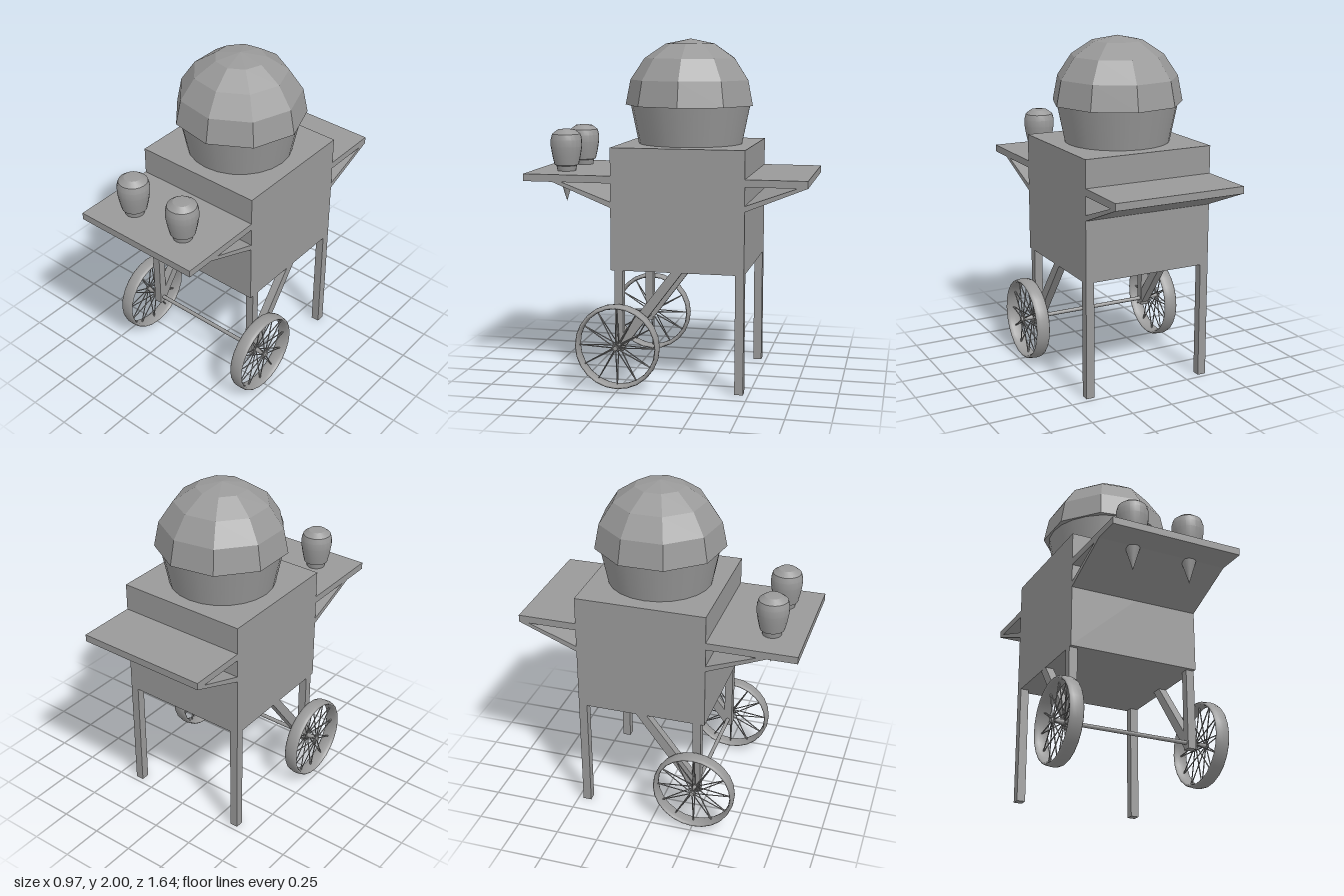
import * as THREE from 'three';
import { toCreasedNormals } from 'three/addons/utils/BufferGeometryUtils.js';

export function createModel() {
  const cart = new THREE.Group();
  cart.name = 'vendingCart';

  const grey = new THREE.MeshStandardMaterial({ color: 0x999999 });
  grey.name = 'plain grey';

  function add(name, geometry, parent = cart) {
    const mesh = new THREE.Mesh(geometry, grey);
    mesh.name = name;
    parent.add(mesh);
    return mesh;
  }

  // Box given by its limits on each axis
  function box(name, x0, x1, y0, y1, z0, z1) {
    const g = new THREE.BoxGeometry(x1 - x0, y1 - y0, z1 - z0);
    g.translate((x0 + x1) / 2, (y0 + y1) / 2, (z0 + z1) / 2);
    return add(name, g);
  }

  // Side outline in (z, y), extruded across x and centred on xMid
  function sidePlate(name, outline, width, xMid = 0) {
    const shape = new THREE.Shape(outline.map(([z, y]) => new THREE.Vector2(z, y)));
    const g = new THREE.ExtrudeGeometry(shape, { depth: width, bevelEnabled: false });
    g.translate(0, 0, -width / 2);
    g.rotateY(-Math.PI / 2);
    g.translate(xMid, 0, 0);
    return add(name, g);
  }

  // Thin rod between two points
  function rod(name, a, b, radius, parent, sides = 6) {
    const dir = b.clone().sub(a);
    const mesh = add(name, new THREE.CylinderGeometry(radius, radius, dir.length(), sides), parent);
    mesh.position.copy(a).add(b).multiplyScalar(0.5);
    mesh.quaternion.setFromUnitVectors(new THREE.Vector3(0, 1, 0), dir.normalize());
    return mesh;
  }

  const W = 0.395, FRONT = 0.3, BACK = -0.47;

  // Cabinet and the two shelves
  box('cabinet', -W, W, 0.69, 1.393, BACK, FRONT);
  box('frontShelf', -W, W, 1.19, 1.232, FRONT, 0.818);
  box('backShelf', -W, W, 1.19, 1.232, -0.818, BACK);

  // Full-width sloping boards that hold up the shelves
  const brace = [[0, 1.05], [0, 1.083], [0.29, 1.19], [0.345, 1.19]];
  sidePlate('frontShelfBrace', brace.map(([z, y]) => [FRONT + z, y]), 2 * W);
  sidePlate('backShelfBrace', brace.map(([z, y]) => [BACK - z, y]), 2 * W);

  // Tapered basin and faceted nine-sided dome
  const basin = add('basin', new THREE.CylinderGeometry(0.352, 0.305, 0.23, 24));
  basin.position.set(0, 1.507, -0.085);
  const domeGeo = new THREE.SphereGeometry(0.383, 9, 4, Math.PI, 2 * Math.PI, 0, Math.PI / 2);
  const dome = add('dome', toCreasedNormals(domeGeo, 0.01));
  dome.position.set(0, 1.617, -0.085);
  const baseGeo = new THREE.CircleGeometry(0.383, 9);
  baseGeo.rotateX(Math.PI / 2);
  add('domeBase', baseGeo).position.copy(dome.position);

  // Filled cones pushed through the front shelf
  const coneProfile = [
    [0, 1.05], [0.055, 1.235], [0.06, 1.262], [0.071, 1.267], [0.083, 1.32],
    [0.092, 1.375], [0.092, 1.415], [0.083, 1.448], [0.05, 1.473], [0, 1.479],
  ].map(([r, y]) => new THREE.Vector2(r, y));
  const coneGeo = toCreasedNormals(new THREE.LatheGeometry(coneProfile, 20), 0.33);
  for (const s of [1, -1]) {
    add(s > 0 ? 'leftCone' : 'rightCone', coneGeo).position.set(0.178 * s, 0, 0.624);
  }

  // Axle
  const wheelY = 0.255, wheelZ = 0.253;
  rod('axle', new THREE.Vector3(-0.482, wheelY, wheelZ), new THREE.Vector3(0.482, wheelY, wheelZ), 0.012, cart, 10);

  // Legs, struts and wheels, mirrored left and right
  for (const s of [1, -1]) {
    const side = s > 0 ? 'left' : 'right';
    const inner = 0.345 * s, outer = W * s;
    const x0 = Math.min(inner, outer), x1 = Math.max(inner, outer);
    box(side + 'BackLeg', x0, x1, 0, 0.69, BACK, BACK + 0.05);
    box(side + 'AxlePost', x0, x1, 0.217, 0.69, 0.23, 0.278);
    sidePlate(side + 'DiagonalStrut',
      [[-0.05, 0.69], [-0.115, 0.69], [0.225, 0.235], [0.265, 0.28]], 0.048, 0.37 * s);

    const wheel = new THREE.Group();
    wheel.name = side + 'Wheel';
    wheel.position.set(0.44 * s, wheelY, wheelZ);
    cart.add(wheel);

    // Wide rim with a flattened oval section
    const rimGeo = new THREE.TorusGeometry(0.235, 0.0125, 12, 24);
    rimGeo.scale(1, 1, 3.4);
    rimGeo.rotateY(Math.PI / 2);
    add('rim', rimGeo, wheel);

    // Two dished sets of spokes running from the hub ends
    for (let i = 0; i < 12; i++) {
      const a = (i / 12) * Math.PI * 2;
      for (const hubX of [-0.034, 0.034]) {
        rod('spoke', new THREE.Vector3(hubX, 0, 0),
          new THREE.Vector3(0, Math.cos(a) * 0.23, Math.sin(a) * 0.23), 0.0035, wheel);
      }
    }
    rod('hub', new THREE.Vector3(-0.046, 0, 0), new THREE.Vector3(0.046, 0, 0), 0.014, wheel, 10);
  }

  return cart;
}
